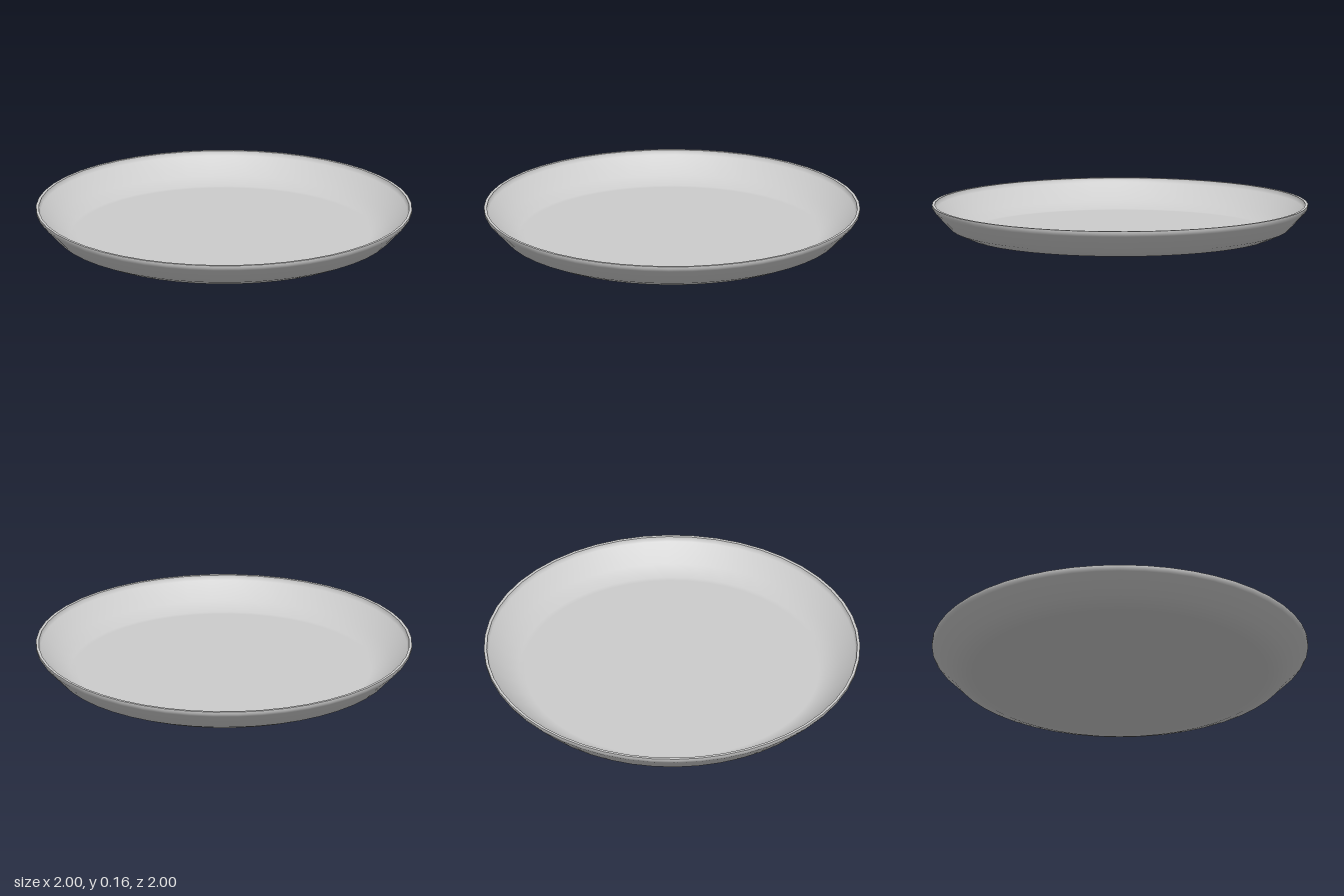
import * as THREE from 'three';

const SEGMENTS = 48;

// Spins a profile of [radius, height] pairs around the vertical axis
function lathe(name, profile, material) {
  const points = profile.map(([r, y]) => new THREE.Vector2(r, y));
  const mesh = new THREE.Mesh(new THREE.LatheGeometry(points, SEGMENTS), material);
  mesh.name = name;
  return mesh;
}

export function createModel() {
  const material = new THREE.MeshStandardMaterial({ color: 0xcccccc });
  const plate = new THREE.Group();
  plate.name = 'plate';

  // Underside: flat base, bevelled foot, sloping wall and short upright lip
  plate.add(lathe('underside', [
    [0, 0], [0.79, 0], [0.82, 0], [0.9, 0.035], [0.99, 0.13], [1, 0.146], [1, 0.16],
  ], material));

  // Rim: narrow flat ring, kept separate so its edges stay sharp
  plate.add(lathe('rim', [[1, 0.16], [0.985, 0.16]], material));

  // Dish: inner wall following the underside, down to the flat floor
  plate.add(lathe('dish', [
    [0.985, 0.16], [0.983, 0.146], [0.975, 0.136], [0.89, 0.05], [0.815, 0.017], [0.785, 0.017], [0, 0.017],
  ], material));

  return plate;
}
